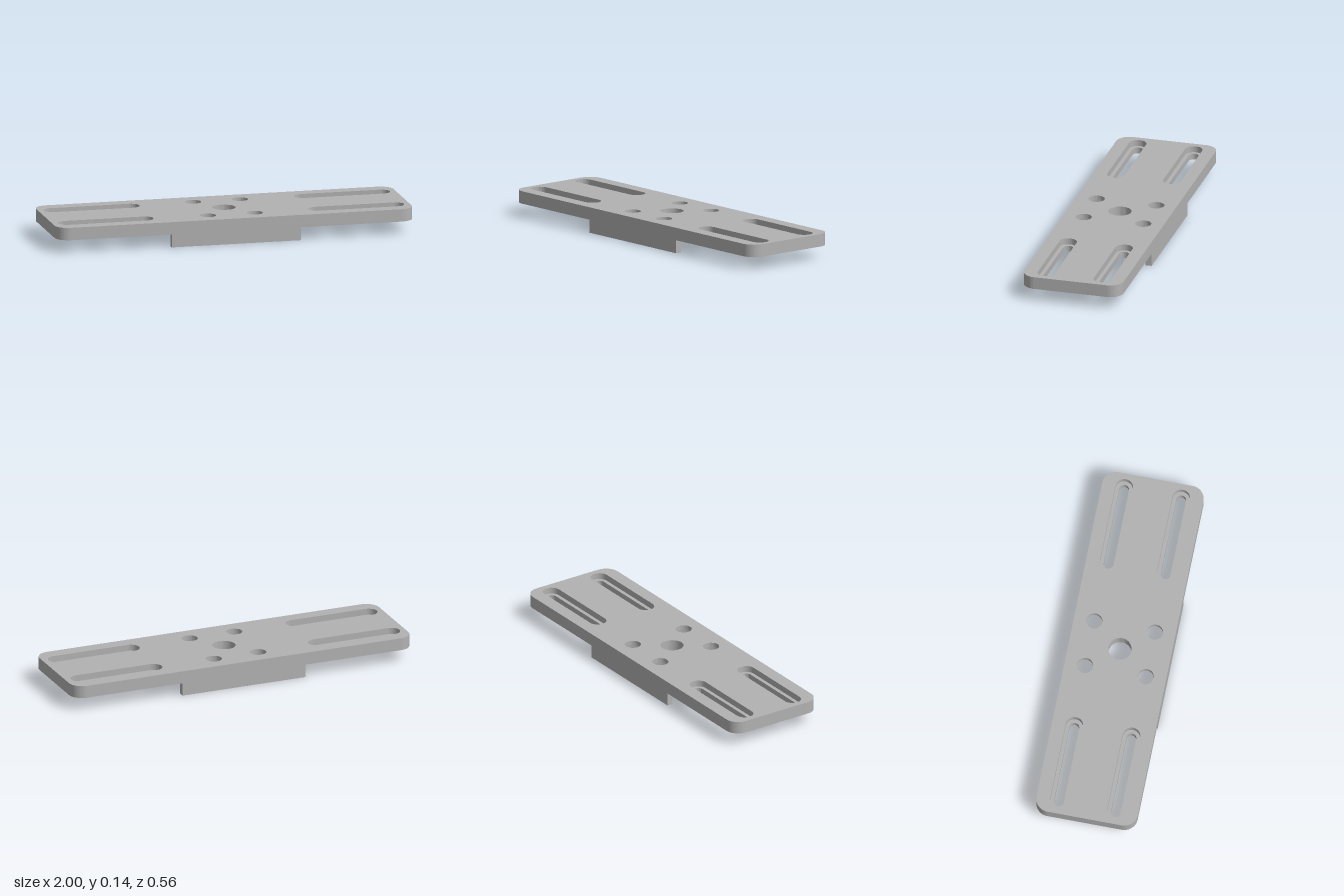
import * as THREE from 'three';
import { toCreasedNormals } from 'three/addons/utils/BufferGeometryUtils.js';

const HALF_WIDTH = 1, HALF_DEPTH = 0.28;
const BOTTOM = 0.072, TOP = 0.141;
const SLOT_LEDGE = 0.106, BORE_CEILING = 0.116;

// Rounded rectangle outline; a radius of half the height gives a slot
function roundedRect(target, cx, cy, hw, hh, r) {
  target.absarc(cx + hw - r, cy + hh - r, r, 0, Math.PI / 2);
  target.absarc(cx - hw + r, cy + hh - r, r, Math.PI / 2, Math.PI);
  target.absarc(cx - hw + r, cy - hh + r, r, Math.PI, Math.PI * 1.5);
  target.absarc(cx + hw - r, cy - hh + r, r, Math.PI * 1.5, Math.PI * 2);
  target.closePath();
  return target;
}

function circle(x, y, r) {
  return new THREE.Path().absarc(x, y, r, 0, Math.PI * 2);
}

// One level of the plate, with its own slot and screw hole sizes
function plateLayer(y0, y1, slotHalfLength, slotRadius, screwRadius) {
  const shape = roundedRect(new THREE.Shape(), 0, 0, HALF_WIDTH, HALF_DEPTH, 0.075);
  shape.holes.push(circle(0, 0, 0.063));
  for (const sx of [-1, 1]) {
    for (const sz of [-1, 1]) {
      shape.holes.push(circle(sx * 0.131, sz * 0.168, screwRadius));
      shape.holes.push(roundedRect(new THREE.Path(), sx * 0.701, sz * 0.158,
        slotHalfLength, slotRadius, slotRadius));
    }
  }
  const geometry = new THREE.ExtrudeGeometry(shape, {
    depth: y1 - y0, bevelEnabled: false, curveSegments: 20,
  });
  geometry.rotateX(-Math.PI / 2);
  geometry.translate(0, y0, 0);
  return toCreasedNormals(geometry, 0.6);
}

export function createModel() {
  const model = new THREE.Group();
  model.name = 'mountingPlate';
  const metal = new THREE.MeshStandardMaterial({ color: 0xb2b2b2 });
  metal.name = 'grey metal';

  const add = (name, geometry) => {
    const mesh = new THREE.Mesh(geometry, metal);
    mesh.name = name;
    model.add(mesh);
    return mesh;
  };

  // Plate: recessed slots open upward, counterbored screw holes open downward
  add('plateLower', plateLayer(BOTTOM, SLOT_LEDGE, 0.246, 0.027, 0.076));
  add('plateMiddle', plateLayer(SLOT_LEDGE, BORE_CEILING, 0.267, 0.048, 0.076));
  add('plateUpper', plateLayer(BORE_CEILING, TOP, 0.267, 0.048, 0.044));

  // Locating flanges under the long edges
  const flangeDepth = 0.034;
  for (const side of [1, -1]) {
    const flange = add(side > 0 ? 'frontFlange' : 'backFlange',
      new THREE.BoxGeometry(0.724, BOTTOM, flangeDepth));
    flange.position.set(0, BOTTOM / 2, side * (HALF_DEPTH - flangeDepth / 2));
  }
  return model;
}
